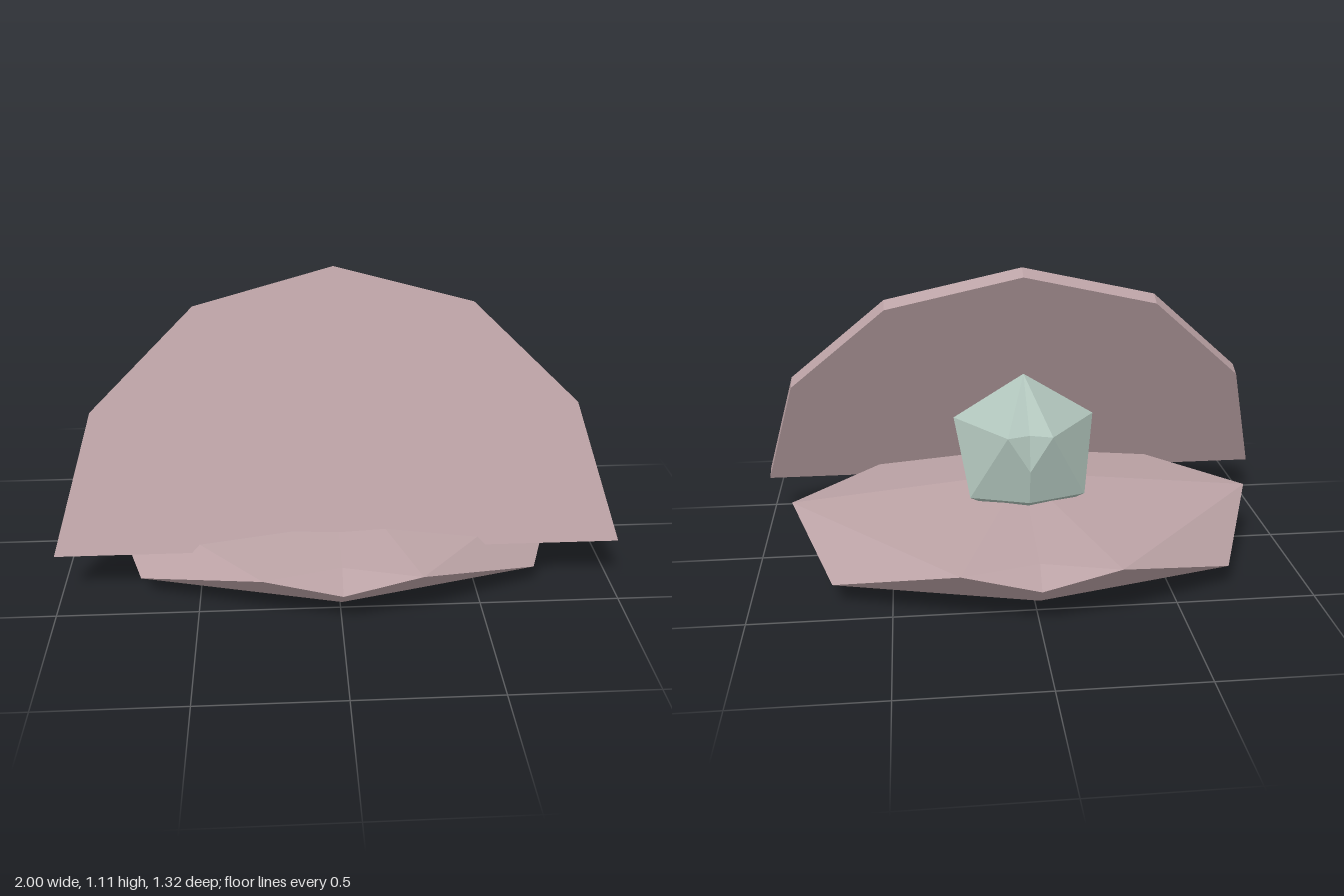
import * as THREE from 'three';

// Corners of one quarter of a mirrored icosahedron (x >= 0, z >= 0)
const CORNERS = {
  T: [0, 1, 0], B: [0, -1, 0],
  U0: [0.894, 0.447, 0], U1: [0.276, 0.447, 0.851],
  L0: [0.724, -0.447, 0.526], E: [0.724, -0.447, 0],
  C: [0, 0.447, 0.761], M: [0, 0, 0.851], D: [0, -0.447, 0.761],
};
const FACES = [
  'T U1 U0', 'T C U1', 'U1 C M', 'U1 M D', 'U1 D L0',
  'U0 U1 L0', 'U0 L0 E', 'B E L0', 'B L0 D',
];

// Faceted ball: the quarter mirrored across x and z, then scaled
function mirroredBall(rx, ry, rz) {
  const positions = [];
  for (const sx of [1, -1]) {
    for (const sz of [1, -1]) {
      for (const face of FACES) {
        const names = face.split(' ');
        if (sx * sz < 0) names.reverse();
        for (const n of names) {
          const [x, y, z] = CORNERS[n];
          positions.push(x * rx * sx, y * ry, z * rz * sz);
        }
      }
    }
  }
  const geometry = new THREE.BufferGeometry();
  geometry.setAttribute('position', new THREE.Float32BufferAttribute(positions, 3));
  geometry.computeVertexNormals();
  return geometry;
}

function material(name, color) {
  const m = new THREE.MeshStandardMaterial({ color, flatShading: true });
  m.name = name;
  return m;
}

export function createModel() {
  const group = new THREE.Group();
  group.name = 'openShell';
  const pink = material('dusty pink', 0xbba2a5);
  const green = material('pale sea green', 0xb0c4bb);

  const add = (name, geometry, mat, x, y, z) => {
    const mesh = new THREE.Mesh(geometry, mat);
    mesh.name = name;
    mesh.position.set(x, y, z);
    group.add(mesh);
    return mesh;
  };

  // Flattened lower shell
  add('lowerShell', mirroredBall(0.977, 0.156, 0.777), pink, 0, 0.156, 0);

  // Pearl resting in the shell
  add('pearl', mirroredBall(0.29, 0.29, 0.29), green, 0, 0.432, -0.045);

  // Upper shell: half of a twelve-sided disc, leaning back
  const outline = [];
  for (let i = 0; i <= 6; i++) {
    const a = (i * Math.PI) / 6;
    outline.push(new THREE.Vector2(Math.cos(a), Math.sin(a)));
  }
  const lid = new THREE.ExtrudeGeometry(new THREE.Shape(outline), { depth: 0.06, bevelEnabled: false });
  lid.translate(0, 0, -0.06);
  add('upperShell', lid, pink, 0, 0.2, 0.43).rotation.x = -THREE.MathUtils.degToRad(25);

  return group;
}
